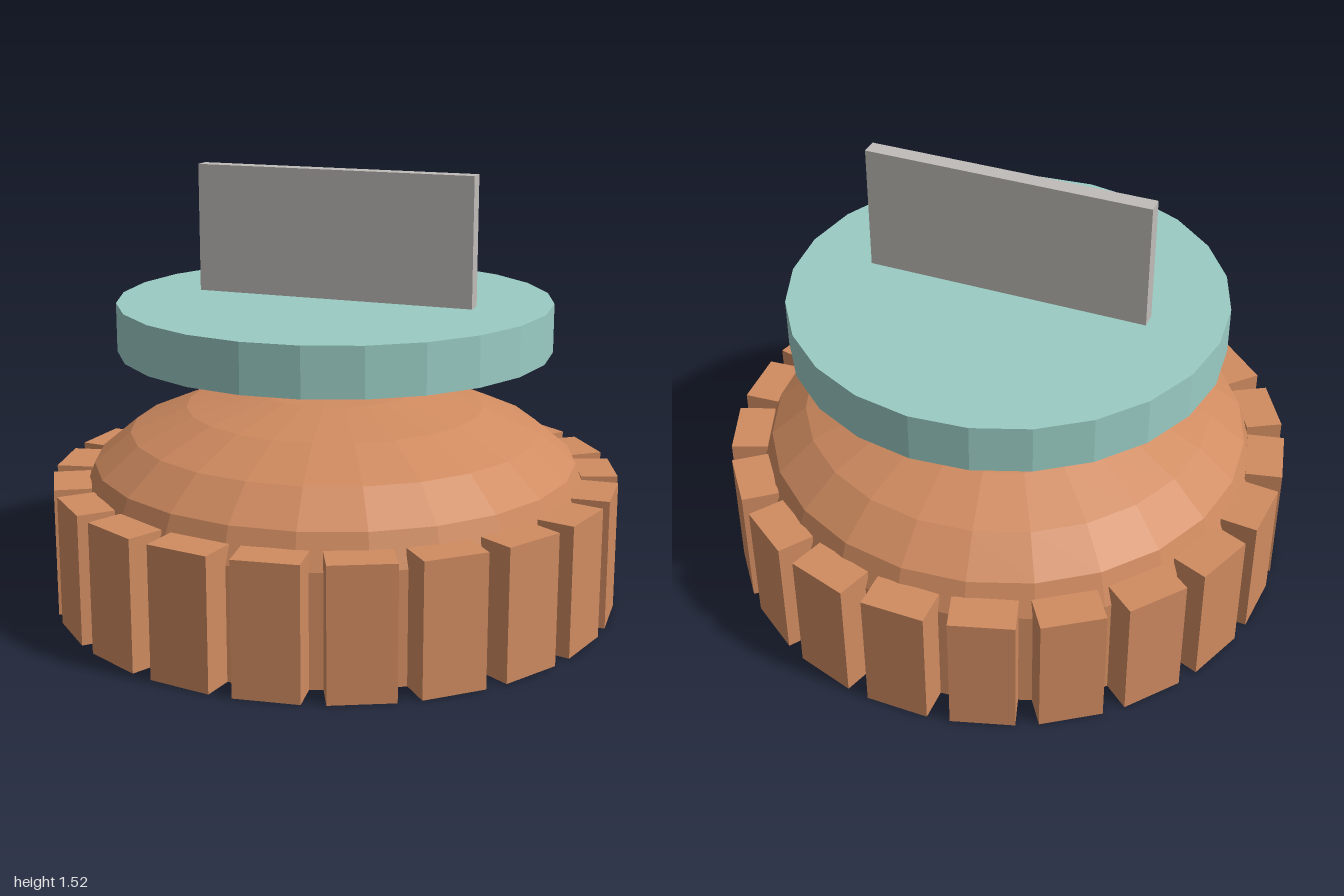
import * as THREE from 'three';

const material = (name, color) => {
  const m = new THREE.MeshStandardMaterial({ color, flatShading: true });
  m.name = name;
  return m;
};

export function createModel() {
  const copper = material('copper', 0xd08b60);
  const teal = material('pale teal', 0x9accc4);
  const grey = material('warm grey', 0xbfbcb8);

  const model = new THREE.Group();
  model.name = 'ridgedKnob';
  const add = (name, geometry, mat, y, parent = model) => {
    const mesh = new THREE.Mesh(geometry, mat);
    mesh.name = name;
    mesh.position.y = y;
    parent.add(mesh);
    return mesh;
  };

  // Round base with a flattened dome on top
  const radius = 0.895, baseHeight = 0.39;
  add('base', new THREE.CylinderGeometry(radius, radius, baseHeight, 24), copper, baseHeight / 2);
  const domeGeometry = new THREE.SphereGeometry(radius, 24, 5, 0, Math.PI * 2, 0, Math.PI / 2);
  domeGeometry.scale(1, 0.38 / radius, 1);
  add('dome', domeGeometry, copper, baseHeight);

  // Ring of grip blocks, the first one at the back
  const grip = new THREE.Group();
  grip.name = 'gripRing';
  model.add(grip);
  const count = 21, outer = 0.995, depth = 0.13, height = 0.455;
  const blockGeometry = new THREE.BoxGeometry(0.22, height, depth);
  blockGeometry.translate(0, 0, -(outer - depth / 2));
  for (let i = 0; i < count; i++) {
    add('gripBlock', blockGeometry, copper, height / 2, grip).rotation.y = (i / count) * Math.PI * 2;
  }

  // Floating disc and the upright plate standing on it
  add('disc', new THREE.CylinderGeometry(0.76, 0.76, 0.17, 24), teal, 0.99);
  add('uprightPlate', new THREE.BoxGeometry(1.007, 0.465, 0.058), grey, 1.2925).rotation.y = 0.305;

  return model;
}
